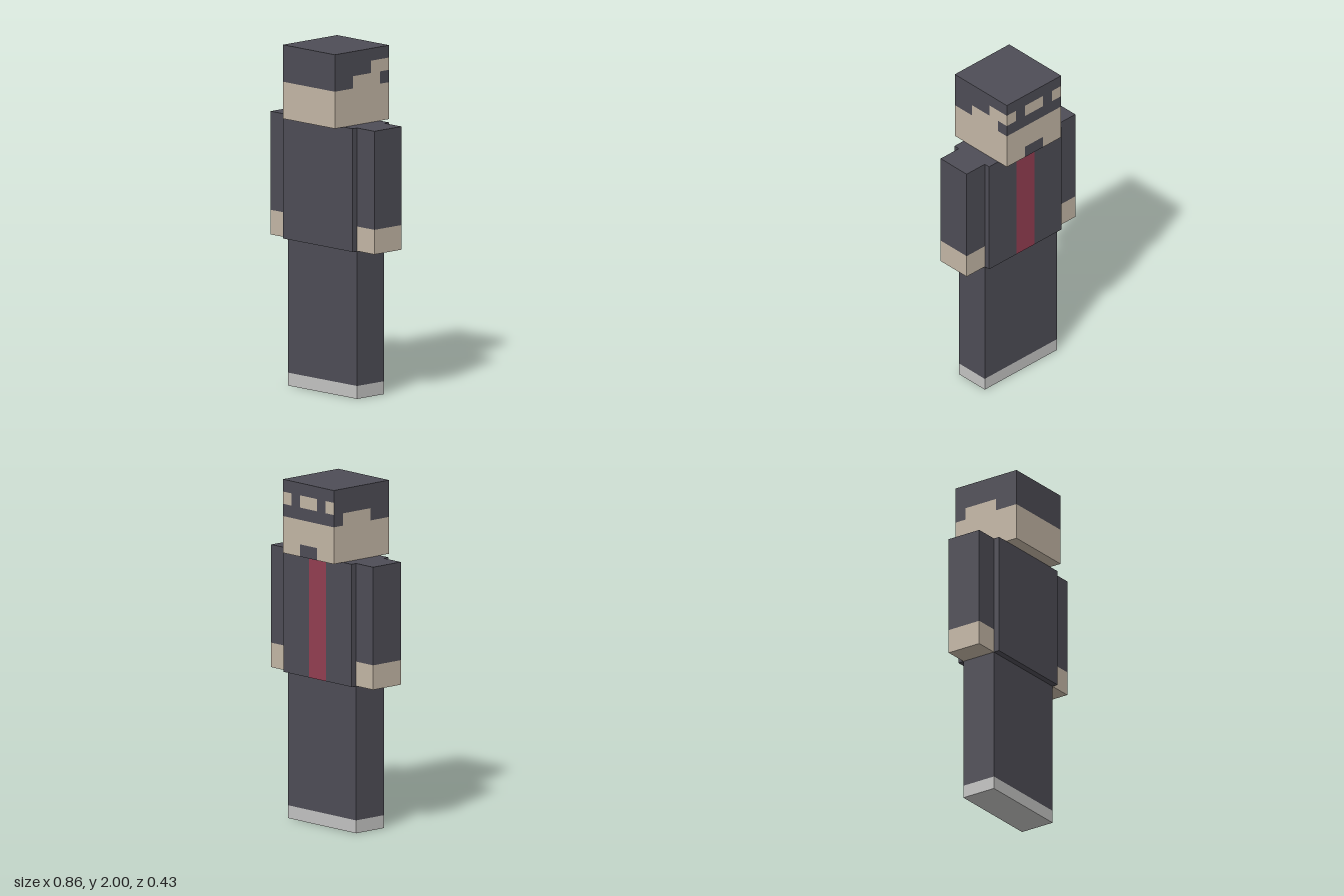
import * as THREE from 'three';

const mat = (name, color) => {
  const m = new THREE.MeshStandardMaterial({ color });
  m.name = name;
  return m;
};

export function createModel() {
  const cloth = mat('dark cloth', 0x4e4d56);
  const skin = mat('skin', 0xc4b7a6);
  const sole = mat('shoe grey', 0xc4c4c3);
  const red = mat('tie red', 0x943e52);
  const palette = [cloth, skin, red];
  const keys = 'DSR';
  const u = 2 / 28; // size of one colour square

  const group = new THREE.Group();
  const add = (name, geometry, material, x, y, z = 0) => {
    const mesh = new THREE.Mesh(geometry, material);
    mesh.name = name;
    mesh.position.set(x, y, z);
    group.add(mesh);
  };
  // Block standing on y0, sized in squares
  const block = (name, w, y0, y1, d, material, x = 0) =>
    add(name, new THREE.BoxGeometry(w * u, y1 - y0, d * u), material, x, (y0 + y1) / 2);

  // Box whose cells are coloured by one row-string list per side: +x -x +y -y +z -z
  const paintedBox = (size, segments, sides) => {
    const g = new THREE.BoxGeometry(...size, ...segments);
    g.clearGroups();
    let start = 0;
    for (const rows of sides)
      for (const cell of rows.join('')) {
        g.addGroup(start, 6, keys.indexOf(cell));
        start += 6;
      }
    return g;
  };
  const fill = (row, n) => Array(n).fill(row);

  // Head: hair, face with brow band and eye patches, beard under the chin
  const H = 'DDDDDD', S = 'SSSSSS';
  const headSides = [
    [H, 'DDDDSS', 'DDSSSD', S, S, S],
    [H, H, 'DSSSDD', S, S, S],
    fill(H, 6),
    [...fill(S, 5), 'SSDDSS'],
    [H, H, H, S, S, S],
    [H, 'SDSSDS', H, S, S, 'SSDDSS'],
  ];
  add('head', paintedBox([6 * u, 6 * u, 6 * u], [6, 6, 6], headSides), palette, 0, 25 * u);

  // Torso with a red tie strip wrapping under the hem
  const W = 'DDDDDDDD', T = 'DDDRRDDD';
  const torsoSides = [['DDDD'], ['DDDD'], fill(W, 4), [W, W, W, T], [W], [T]];
  add('torso', paintedBox([8 * u, 10 * u, 4 * u], [8, 1, 4], torsoSides), palette, 0, 17 * u);

  // Sleeves and hands
  for (const [side, s] of [['left', 1], ['right', -1]]) {
    block(side + 'Sleeve', 2, 14 * u, 22 * u, 3, cloth, s * 5 * u);
    block(side + 'Hand', 2, 12 * u, 14 * u, 3, skin, s * 5 * u);
  }

  // Legs and shoes
  block('legs', 8, 0.075, 12 * u, 3, cloth);
  block('shoes', 8, 0, 0.075, 3, sole);

  return group;
}
